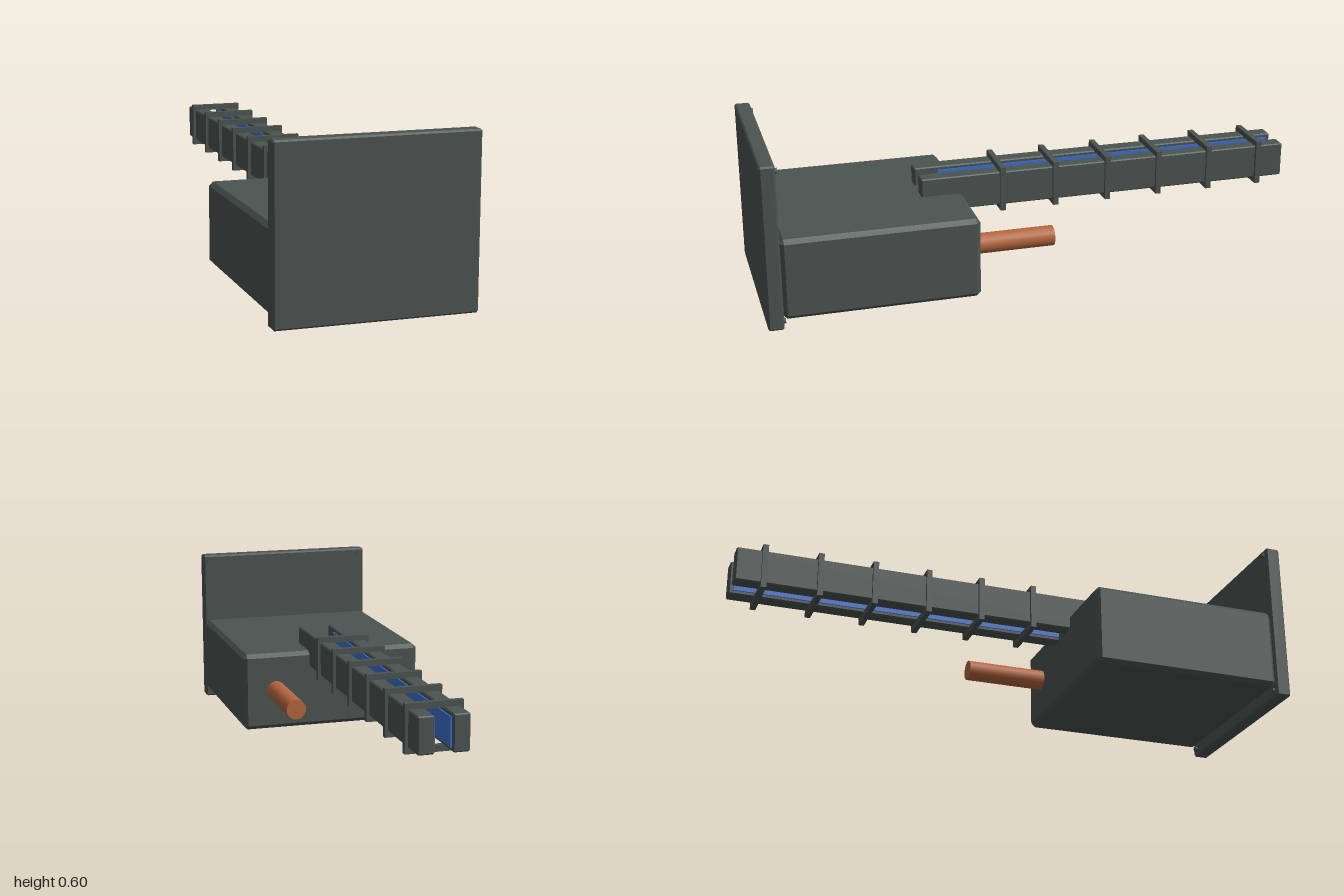
import * as THREE from 'three';
import { ConvexGeometry } from 'three/addons/geometries/ConvexGeometry.js';

// Box with chamfered edges, given by its extents
function chamferBox([x0, x1], [y0, y1], [z0, z1], c) {
  const half = [(x1 - x0) / 2, (y1 - y0) / 2, (z1 - z0) / 2];
  const points = [];
  for (const sx of [-1, 1]) for (const sy of [-1, 1]) for (const sz of [-1, 1]) {
    for (let full = 0; full < 3; full++) {
      const [x, y, z] = half.map((h, i) => (i === full ? h : h - c));
      points.push(new THREE.Vector3(sx * x, sy * y, sz * z));
    }
  }
  return new ConvexGeometry(points).translate((x0 + x1) / 2, (y0 + y1) / 2, (z0 + z1) / 2);
}

// Cylinder lying along z
function rod(radius, sides, x, y, z0, z1) {
  return new THREE.CylinderGeometry(radius, radius, z1 - z0, sides)
    .rotateX(Math.PI / 2)
    .translate(x, y, (z0 + z1) / 2);
}

export function createModel() {
  const model = new THREE.Group();
  const material = (name, color) => new THREE.MeshStandardMaterial({ name, color });
  const darkGrey = material('darkGrey', 0x4b5451);
  const copper = material('copper', 0xb5673f);
  const blue = material('blue', 0x3f70d0);

  const add = (name, geometry, mat, parent = model) => {
    const mesh = new THREE.Mesh(geometry, mat);
    mesh.name = name;
    parent.add(mesh);
    return mesh;
  };

  // Mounting plate and housing
  add('frontPlate', chamferBox([-0.347, 0.347], [0, 0.6], [0.945, 1], 0.006), darkGrey);
  add('housing', chamferBox([-0.347, 0.347], [0.035, 0.33], [0.247, 0.946], 0.015), darkGrey);

  // Small screws on the back of the plate
  for (const x of [-0.322, 0.322]) for (const y of [0.025, 0.575]) {
    add('screw', rod(0.01, 12, x, y, 0.937, 0.95), darkGrey);
  }

  // Pair of rails with blue strips on their inner faces
  for (const side of [-1, 1]) {
    const name = side > 0 ? 'left' : 'right';
    const span = (a, b) => [side * a, side * b].sort((p, q) => p - q);
    add(name + 'Rail', chamferBox(span(0.031, 0.088), [0.27, 0.396], [-1, 0.4], 0.004), darkGrey);
    const strip = new THREE.BoxGeometry(0.006, 0.1, 1.3);
    strip.translate(side * 0.029, 0.333, -0.335);
    add(name + 'Strip', strip, blue);
  }

  // Rectangular clamps around both rails
  const rect = (path, w, h) => {
    path.moveTo(-w, -h);
    path.lineTo(w, -h);
    path.lineTo(w, h);
    path.lineTo(-w, h);
    path.closePath();
    return path;
  };
  const frame = rect(new THREE.Shape(), 0.099, 0.083);
  frame.holes.push(rect(new THREE.Path(), 0.086, 0.061));
  const clampGeometry = new THREE.ExtrudeGeometry(frame, { depth: 0.02, bevelEnabled: false });
  const clamps = new THREE.Group();
  clamps.name = 'clamps';
  for (let i = 0; i < 6; i++) {
    add('clamp', clampGeometry, darkGrey, clamps).position.set(0, 0.333, 0.09 - i * 0.2);
  }
  model.add(clamps);

  // Copper pipe leaving the back of the housing
  add('copperPipe', rod(0.037, 20, 0.221, 0.185, -0.05, 0.3), copper);

  return model;
}
